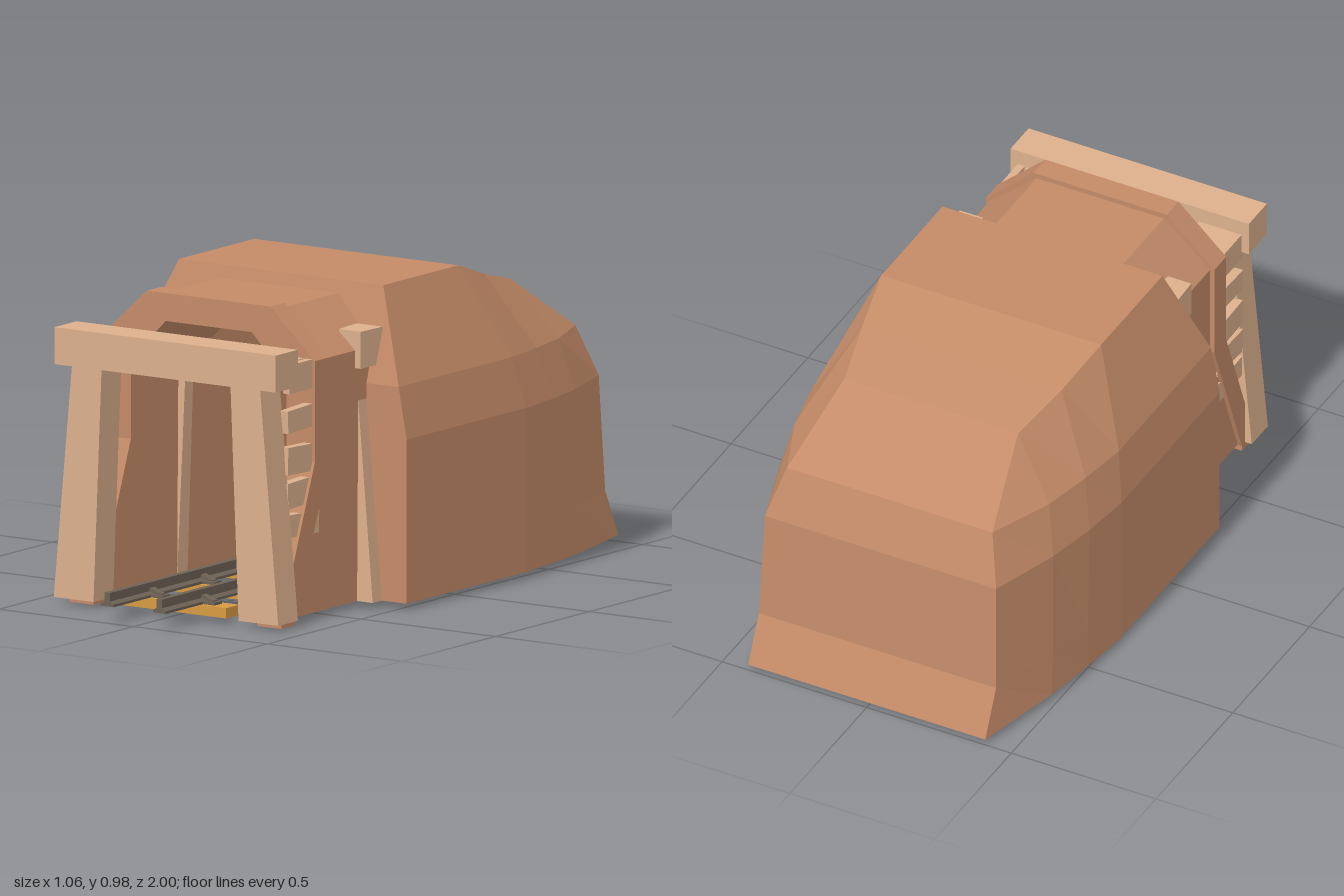
import * as THREE from 'three';

const mat = (name, color) => new THREE.MeshStandardMaterial({ name, color, flatShading: true, side: THREE.DoubleSide });

// Flat-shaded surface through rows of points; loop closes each row on itself.
function grid(rows, loop = false, caps = false) {
  const v = [];
  const quad = (a, b, c, d) => v.push(...a, ...b, ...c, ...a, ...c, ...d);
  for (let i = 0; i < rows.length - 1; i++) {
    const n = rows[i].length;
    for (let j = 0; j < (loop ? n : n - 1); j++) {
      const k = (j + 1) % n;
      quad(rows[i][j], rows[i][k], rows[i + 1][k], rows[i + 1][j]);
    }
  }
  if (caps) {
    const [a, b, c, d] = rows[0];
    quad(d, c, b, a);
    quad(...rows[rows.length - 1]);
  }
  const g = new THREE.BufferGeometry();
  g.setAttribute('position', new THREE.Float32BufferAttribute(v, 3));
  g.computeVertexNormals();
  return g;
}

const mirror = ([x, y, z]) => [-x, y, z];

export function createModel() {
  const rock = mat('rock', 0xc48b68);
  const timber = mat('timber', 0xdcb08c);
  const tieWood = mat('tieWood', 0xd69a42);
  const iron = mat('iron', 0x6e6256);
  const model = new THREE.Group();

  const add = (name, geometry, material) => {
    const m = new THREE.Mesh(geometry, material);
    m.name = name;
    model.add(m);
    return m;
  };
  const box = (name, material, x0, x1, y0, y1, z0, z1) => {
    const m = add(name, new THREE.BoxGeometry(x1 - x0, y1 - y0, z1 - z0), material);
    m.position.set((x0 + x1) / 2, (y0 + y1) / 2, (z0 + z1) / 2);
    return m;
  };

  // Mound: columns run front to back, points run from ground to crest
  const side = [
    [[.53, .02, .3], [.53, .17, .3], [.53, .53, .3], [.5, .69, .3], [.38, .98, .21]],
    [[.53, .02, -.34], [.53, .17, -.34], [.53, .53, -.34], [.5, .69, -.3], [.38, .98, -.19]],
    [[.51, .02, -.52], [.51, .17, -.52], [.51, .53, -.51], [.475, .69, -.47], [.345, .92, -.38]],
    [[.48, .02, -.7], [.48, .17, -.69], [.475, .53, -.68], [.44, .69, -.64], [.3, .87, -.58]],
    [[.41, .02, -1], [.41, .17, -.93], [.4, .53, -.91], [.355, .69, -.85], [.3, .87, -.58]],
  ];
  add('moundLeftSide', grid(side.map(c => [...c].reverse())), rock);
  add('moundRightSide', grid(side.map(c => c.map(mirror))), rock);
  // Strip across the crest and down the back
  const spine = [...side.slice(0, 4).map(c => c[4]), ...side[4].slice(0, 4).reverse()];
  add('moundTopAndBack', grid(spine.map(p => [mirror(p), p])), rock);

  // Mound front wall, around the tunnel mouth
  const rim = [side[0][0], side[0][2], side[0][3], side[0][4]];
  const mouth = [[.36, .02, .3], [.36, .53, .3], [.36, .69, .3], [.2, .9, .235]];
  const wall = rim.map((p, i) => [p, mouth[i]]);
  add('moundFrontWall', grid([...wall, ...wall.map(r => r.map(mirror)).reverse()]), rock);

  // Arch: sweeps a four-cornered section up one leg, over the top and down
  function arch(name, outer, inner, back, front) {
    const half = outer.map(([x, y], i) => {
      const [u, w] = inner[i];
      return [[x, y, back(y)], [x, y, front(y)], [u, w, front(w)], [u, w, back(w)]];
    });
    const rows = [...half, ...half.map(r => r.map(mirror)).reverse()];
    add(name, grid(rows, true, true), rock);
  }
  const lean = z => y => z + Math.max(0, .49 - y) * .38;
  const opening = [[.29, .02], [.29, .49], [.29, .74], [.16, .87]];
  arch('portalPassage', [[.38, .02], [.38, .49], [.38, .8], [.22, .94]], opening, () => .16, lean(.53));
  arch('portalRing', [[.395, .02], [.395, .49], [.395, .805], [.23, .957]], opening, lean(.52), lean(.597));

  // Tunnel lining: walls, sloping ceiling and end wall
  const stations = [[.2, .87], [-.33, .61], [-.46, .48]];
  const lining = (x, lift) => stations.map(([z, h]) =>
    [[-x, .02, z - lift], [-x, h + lift, z - lift], [x, h + lift, z - lift], [x, .02, z - lift]]);
  const inside = lining(.31, 0), outside = lining(.32, .01);
  for (const s of [0, 2]) add('tunnelWall', grid(inside.map(r => r.slice(s, s + 2))), rock);
  add('tunnelCeiling', grid(inside.slice(0, 2).map(r => r.slice(1, 3))), iron);
  add('tunnelCeilingEnd', grid(inside.slice(1).map(r => r.slice(1, 3))), rock);
  const end = r => grid([[r[0], r[3]], [r[1], r[2]]]);
  add('tunnelEndWall', end(inside[2]), rock);
  add('liningShell', grid(outside), timber);
  add('liningShellEnd', end(outside[2]), timber);

  // Leaning timber posts
  const post = (s, z0, z1, top, inset) => add('post', grid([
    [[.27 * s, .02, z0], [.418 * s, .02, z0], [.418 * s, .02, z1], [.27 * s, .02, z1]],
    [[.24 * s, top, z0 + inset], [.35 * s, top, z0 + inset], [.35 * s, top, z1 - inset], [.24 * s, top, z1 - inset]],
  ], true, true), timber);

  box('frontBeam', timber, -.412, .412, .745, .86, .712, .83);
  for (const s of [-1, 1]) {
    post(s, .72, .825, .75, 0);
    // Rear posts stand slightly wider, against the passage
    post(s, .295, .35, .75, .007).position.x = .02 * s;
    const x = (a, b) => s > 0 ? [a, b] : [-b, -a];
    // Rear beam end, tapered towards the mound
    const cap = (z, a, b, y) => [[a * s, y, z], [b * s, y, z], [b * s, .86, z], [a * s, .86, z]];
    add('rearBeamEnd', grid([cap(.25, .305, .405, .745), cap(.36, .32, .4, .745)], true, true), timber);
    box('ringFoot', rock, ...x(.305, .395), 0, .03, .7, .775);
    // Side slats between the ring and the front frame
    [[.27, .34], [.365, .445], [.465, .55], [.6, .67]].forEach(([y0, y1], i) => {
      const slat = box('sideSlat', timber, ...x(.355, .385), y0, y1, .56, .725);
      slat.rotation.x = (i % 2 ? 1 : -1) * .04;
    });
  }

  // Roof slats
  [[-.37, -.24], [-.2, -.11], [-.09, 0], [.03, .13], [.145, .22], [.245, .355]].forEach(([a, b]) =>
    box('roofSlat', timber, a, b, .745, .81, .56, .72));
  for (const s of [-1, 1]) box('roofEdgeSlat', timber, s * .375 - .012, s * .375 + .012, .72, .81, .56, .72);

  // Ties, open underneath
  for (let i = 0; i < 5; i++) {
    const z = -.32 + i * .275;
    const tie = [
      [[-.217, .02, z - .035], [.217, .02, z - .035], [.217, .02, z + .035], [-.217, .02, z + .035]],
    ];
    tie.push(tie[0].map(([x, , d]) => [x, .052, d]));
    add('tie', grid(tie, true), tieWood);
    add('tieTop', grid([[tie[1][0], tie[1][1]], [tie[1][3], tie[1][2]]]), tieWood);
    // Plates and clips holding the rails
    for (const x of [-.097, .097]) {
      box('railPlate', iron, x - .067, x + .067, .052, .061, z - .02, z + .02);
      for (const s of [-1, 1]) {
        const clip = box('railClip', iron, x + s * .033 - .022, x + s * .033 + .022, .062, .072, z - .012, z + .012);
        clip.rotation.z = -s * .35;
      }
    }
  }

  // Rails
  const half = [[.024, .052], [.024, .06], [.01, .068], [.01, .095]];
  const profile = new THREE.Shape([...half, ...half.map(([x, y]) => [-x, y]).reverse()]
    .map(p => new THREE.Vector2(...p)));
  for (const x of [-.097, .097]) {
    const rail = add('rail', new THREE.ExtrudeGeometry(profile, { depth: 1.44, bevelEnabled: false }), iron);
    rail.position.set(x, 0, -.44);
  }
  return model;
}
